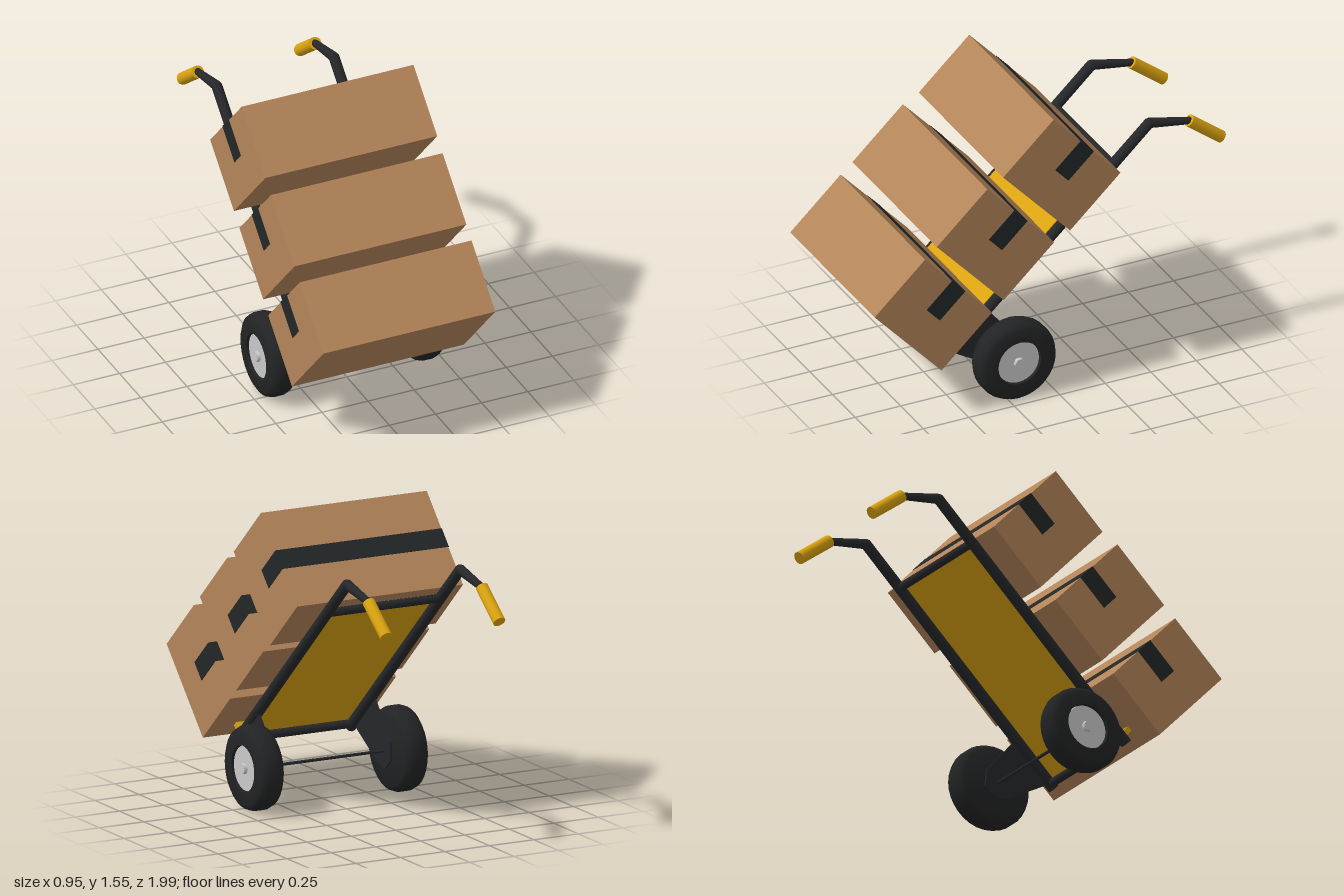
import * as THREE from 'three';
import { toCreasedNormals } from 'three/addons/utils/BufferGeometryUtils.js';

const mat = (name, color, side = THREE.FrontSide) => {
  const m = new THREE.MeshStandardMaterial({ color, side });
  m.name = name;
  return m;
};

export function createModel() {
  const cardboard = mat('cardboard', 0xb38459);
  const tape = mat('dark tape', 0x232727);
  const steel = mat('black steel', 0x25272a);
  const rubber = mat('rubber', 0x222324);
  const silver = mat('silver hub', 0xc9c9c9);
  const yellow = mat('yellow', 0xdaa310);

  const model = new THREE.Group();
  model.name = 'loadedHandTruck';

  const add = (parent, name, geometry, material, x = 0, y = 0, z = 0) => {
    const mesh = new THREE.Mesh(geometry, material);
    mesh.name = name;
    mesh.position.set(x, y, z);
    parent.add(mesh);
    return mesh;
  };
  const box = (w, h, d) => new THREE.BoxGeometry(w, h, d);

  // Round bar running from point a to point b
  const bar = (parent, name, a, b, r0, r1, material, sides) => {
    const from = new THREE.Vector3(...a), dir = new THREE.Vector3(...b).sub(from);
    const length = dir.length();
    const mesh = add(parent, name, new THREE.CylinderGeometry(r1, r0, length, sides), material);
    mesh.position.copy(from).addScaledVector(dir, 0.5);
    mesh.quaternion.setFromUnitVectors(new THREE.Vector3(0, 1, 0), dir.normalize());
    return mesh;
  };

  // Leaning frame: local y runs up the rails, local z points towards the load
  const lean = -0.823;
  const railX = 0.318;
  const frame = new THREE.Group();
  frame.name = 'frame';
  frame.position.set(0, 0.265, 0.535);
  frame.rotation.x = lean;
  model.add(frame);
  add(frame, 'backPanel', box(0.62, 1.23, 0.008), yellow, 0, 0.625, 0.026);
  add(frame, 'toePlate', box(0.64, 0.03, 0.06), yellow, 0, 0.045, 0.052);
  for (const y of [0.03, 1.25]) {
    bar(frame, 'crossBar', [-railX, y, 0], [railX, y, 0], 0.022, 0.022, steel, 10);
  }

  // Wheel profile: tyre with softened shoulders and a recess for the hub
  const tyreProfile = [
    [0, -0.065], [0.183, -0.065], [0.204, -0.052], [0.215, -0.025], [0.215, 0.025],
    [0.204, 0.052], [0.183, 0.065], [0.117, 0.065], [0.115, 0.045],
  ].map(p => new THREE.Vector2(...p));
  const tyreGeometry = toCreasedNormals(new THREE.LatheGeometry(tyreProfile, 32), 0.7);

  // Axle bracket outline, drawn in (z, y)
  const plate = new THREE.Shape();
  plate.moveTo(0.50, 0.28);
  plate.lineTo(0.30, 0.46);
  plate.lineTo(0.14, 0.27);
  plate.lineTo(0.13, 0.18);
  plate.lineTo(0.19, 0.125);
  plate.lineTo(0.26, 0.14);
  plate.closePath();
  const plateGeometry = new THREE.ExtrudeGeometry(plate, { depth: 0.01, bevelEnabled: false });
  plateGeometry.translate(0, 0, -0.005).rotateY(-Math.PI / 2);
  // The turn sends the outline's x to +z and its depth to -x

  for (const s of [-1, 1]) {
    const x = s * railX;
    // Rail, bent handle and grip
    bar(model, 'rail', [x, 0.265, 0.535], [x, 1.305, -0.585], 0.029, 0.027, steel, 10);
    add(model, 'handleElbow', new THREE.SphereGeometry(0.027, 10, 8), steel, x, 1.3, -0.58);
    bar(model, 'handleNeck', [x, 1.302, -0.58], [x, 1.255, -0.82], 0.026, 0.018, steel, 10);
    bar(model, 'grip', [x, 1.26, -0.8], [x, 1.122, -0.978], 0.032, 0.032, yellow, 16);
    add(model, 'axleBracket', plateGeometry, steel, s * 0.325, 0, 0);

    // Wheel, its local y pointing outwards
    const wheel = new THREE.Group();
    wheel.name = s > 0 ? 'leftWheel' : 'rightWheel';
    wheel.position.set(s * 0.405, 0.216, 0.205);
    wheel.rotation.z = -s * Math.PI / 2;
    model.add(wheel);
    add(wheel, 'tyre', tyreGeometry, rubber);
    add(wheel, 'hub', new THREE.CylinderGeometry(0.112, 0.116, 0.02, 32), silver, 0, 0.042, 0);
    add(wheel, 'hubNut', new THREE.CylinderGeometry(0.026, 0.03, 0.022, 6), silver, 0, 0.058, 0);
  }
  bar(model, 'axle', [-0.35, 0.212, 0.205], [0.35, 0.212, 0.205], 0.008, 0.008, steel, 8);

  // Cartons: [x, y, z], each taped across the upper face and down both ends
  const W = 0.932, H = 0.378, D = 0.54, T = 0.106;
  [[-0.007, 0.607, 0.675], [-0.005, 0.92, 0.334], [0.004, 1.227, -0.026]].forEach((p, i) => {
    const carton = new THREE.Group();
    carton.name = `carton${i + 1}`;
    carton.position.set(...p);
    carton.rotation.x = lean;
    model.add(carton);
    add(carton, 'cartonBody', box(W, H, D), cardboard);
    add(carton, 'topTape', box(W + 0.004, 0.004, T), tape, 0, H / 2, 0);
    for (const s of [-1, 1]) {
      add(carton, 'endTape', box(0.004, 0.19, T), tape, s * W / 2, H / 2 - 0.095, 0);
    }
  });

  return model;
}
